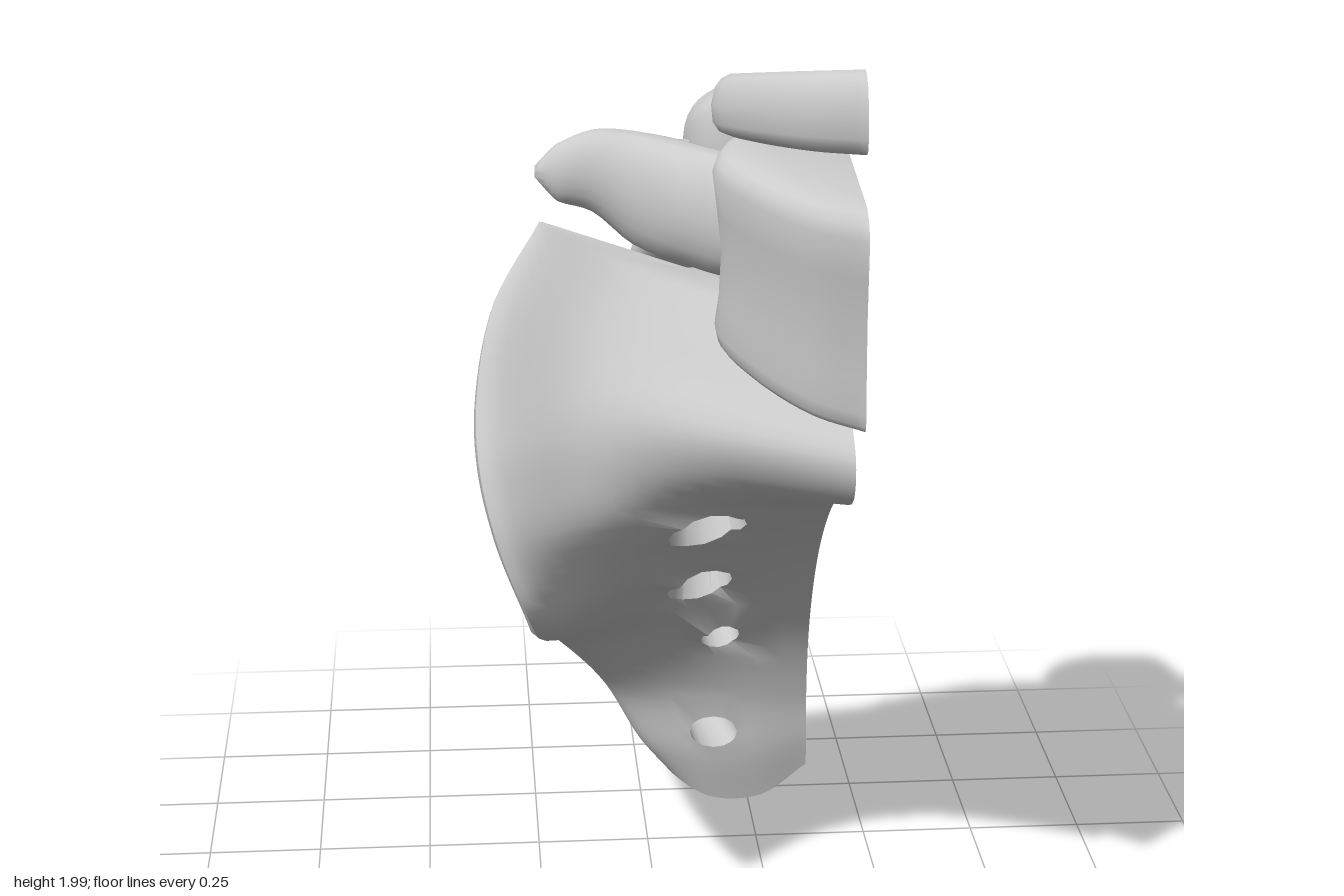
import * as THREE from 'three';
import { toCreasedNormals } from 'three/addons/utils/BufferGeometryUtils.js';

const V = (x, y, z) => new THREE.Vector3(x, y, z);
const { lerp, clamp, smoothstep } = THREE.MathUtils;
const grey = new THREE.MeshStandardMaterial({ color: 0xcccccc });
const cutX = (y) => 0.34 + (2 - y) * 0.024; // the slightly leaning midline cut

function part(name, geometry, crease = 0.75) {
  const mesh = new THREE.Mesh(toCreasedNormals(geometry, crease), grey);
  mesh.name = name;
  return mesh;
}

// Skin a stack of rings, close both ends; skip(j, i) leaves a cell open, extra adds triangles
function skin(rings, skip = () => false, extra = []) {
  const n = rings[0].length, pts = rings.flat(), index = [...extra];
  for (let j = 0; j < rings.length - 1; j++) {
    for (let i = 0; i < n; i++) {
      if (skip(j, i)) continue;
      const a = j * n + i, b = j * n + (i + 1) % n;
      index.push(a, b, a + n, b, b + n, a + n);
    }
  }
  [0, rings.length - 1].forEach((j) => {
    const centre = V(0, 0, 0);
    rings[j].forEach((p) => centre.addScaledVector(p, 1 / n));
    const c = pts.push(centre) - 1;
    for (let i = 0; i < n; i++) {
      const a = j * n + i, b = j * n + (i + 1) % n;
      if (j === 0) index.push(c, b, a); else index.push(c, a, b);
    }
  });
  const g = new THREE.BufferGeometry().setFromPoints(pts);
  g.setIndex(index);
  return g.toNonIndexed();
}

// Sacrum half: lateral x, y at cut, y at side, sag between, depths front (cut to side) and back (side to cut)
const ROWS = [
  [-0.25, 1.42, 1.57, 0.05, 0.25, 0.17, 0.07, 0.03, -0.03, -0.04, -0.04, -0.13],
  [-0.35, 1.29, 1.43, 0.02, 0.36, 0.27, 0.17, 0.15, -0.05, -0.07, -0.11, -0.22],
  [-0.39, 1.19, 1.25, 0, 0.47, 0.37, 0.25, 0.24, -0.07, -0.11, -0.16, -0.29],
  [-0.385, 1.1, 1.12, 0, 0.44, 0.34, 0.28, 0.32, -0.1, -0.16, -0.21, -0.36],
  [-0.35, 0.98, 0.98, 0, 0.14, 0.19, 0.28, 0.37, -0.15, -0.24, -0.31, -0.47],
  [-0.29, 0.8, 0.82, 0, -0.1, -0.04, 0.14, 0.36, -0.22, -0.39, -0.46, -0.57],
  [-0.255, 0.62, 0.66, 0, -0.26, -0.22, -0.09, 0.08, -0.32, -0.5, -0.55, -0.61],
  [-0.2, 0.45, 0.5, 0, -0.36, -0.34, -0.3, -0.27, -0.45, -0.56, -0.6, -0.65],
  [-0.08, 0.28, 0.31, 0, -0.41, -0.4, -0.41, -0.43, -0.52, -0.57, -0.6, -0.66],
  [0.0, 0.17, 0.16, 0.03, -0.42, -0.41, -0.42, -0.45, -0.52, -0.56, -0.59, -0.64],
  [0.06, 0.1, 0.08, 0.08, -0.43, -0.43, -0.44, -0.47, -0.51, -0.55, -0.58, -0.6],
];
const ACROSS = [0, 0.33, 0.7, 0.98, 0.8, 0.62, 0.32, 0];

function sacrum() {
  const sub = 6, last = 7 * sub;
  const lines = ACROSS.map((a, k) => new THREE.CatmullRomCurve3(ROWS.map(([xL, yC, yL, sag, ...z]) => {
    const s = k === 4 ? 1 - 0.23 * smoothstep(yL, 0.6, 0.95) : a; // lateral back edge flares low down
    return V(lerp(cutX(yC), xL, s), lerp(yC, yL, s) - sag * 4 * s * (1 - s), z[k]);
  })));
  const rowCount = (ROWS.length - 1) * sub;
  const rings = [];
  for (let j = 0; j <= rowCount; j++) {
    const curve = new THREE.CatmullRomCurve3(lines.map((l) => l.getPoint(j / rowCount)));
    const ring = curve.getPoints(last);
    // uneven dorsal crests and hollows
    ring.forEach((p, i) => {
      if (i > 4 * sub && i < last) p.z += 0.012 * Math.sin(p.y * 23 + 1) * Math.sin(p.x * 17 + p.y * 4);
    });
    // groove of the spinal canal in the cut face
    const { x, y, z } = ring[last];
    const w = clamp((y - 0.45) * 0.4, 0.035, 0.26), d = 0.06 + w * 0.35;
    const z2 = z + 0.06, z1 = z2 + w;
    ring.push(V(x, y, z2), V(x - d * 0.6, y, z2 + w * 0.45), V(x - d, y, z2 + w * 0.72),
      V(x - d * 0.8, y, z2 + w * 0.93), V(x, y, z1));
    rings.push(ring);
  }
  // foramina: open a block of cells front and back, round each rim and join the two
  const n = rings[0].length, open = new Set(), extra = [];
  const rim = [];
  for (let k = 0; k < 16; k++) {
    const q = k % 4, side = k >> 2;
    rim.push([[-2, q - 2], [q - 2, 2], [2, 2 - q], [2 - q, -2]][side]);
  }
  // opens one mouth; dir is the column step towards the side; returns its rim indices
  const mouth = (hx, hy, rx, ry, from, dir) => {
    let best = 9, r = 0, c = 0;
    for (let j = 3; j < rowCount - 3; j++) {
      for (let i = 3; i < 16; i++) {
        const p = rings[j][from + dir * i], d = Math.hypot(p.x - hx, p.y - hy);
        if (d < best) { best = d; r = j; c = from + dir * i; }
      }
    }
    for (let j = r - 2; j < r + 2; j++) {
      for (let i = c - 2; i < c + 2; i++) open.add(j * n + i);
    }
    return rim.map(([dj, di]) => {
      const p = rings[r + dj][c + di * dir], len = Math.hypot(di, dj);
      p.x = hx - rx * di / len;
      p.y = hy - ry * dj / len;
      return (r + dj) * n + c + di * dir;
    });
  };
  const holes = [
    [[0.1, 0.92, 0.085, 0.06], [0.1, 1.09, 0.05, 0.045]],
    [[0.11, 0.67, 0.075, 0.055], [0.13, 0.84, 0.045, 0.04]],
    [[0.17, 0.48, 0.045, 0.04], [0.165, 0.52, 0.05, 0.04]],
    [[0.165, 0.2, 0.055, 0.04], [0.14, 0.22, 0.05, 0.04]],
  ];
  for (const [front, back] of holes) {
    const f = mouth(...front, 0, 1), b = mouth(...back, last, -1);
    f.forEach((a, k) => {
      const m = (k + 1) % 16;
      extra.push(a, f[m], b[k], f[m], b[m], b[k]);
    });
  }
  return part('sacrum', skin(rings, (j, i) => open.has(j * n + i), extra), 0.9);
}

// Half-oval slab with tilted ends; levels are [fraction down, size, shift in z]
function slab(name, zFront, zBack, top, bottom, levels) {
  const outline = new THREE.CatmullRomCurve3([[0, 1], [0.4, 0.86], [0.8, 0.58], [1, 0.33],
    [0.9, 0.14], [0.5, 0.03], [0, 0]].map(([x, z]) => V(x, 0, z))).getPoints(36);
  const rings = levels.map(([t, k, shift]) => outline.map((p) => {
    const f = 0.5 + (p.z - 0.5) * k;
    const y = lerp(lerp(top[1], top[0], f), lerp(bottom[1], bottom[0], f), t);
    return V(cutX(y) - 0.26 * k * p.x, y, zBack + (zFront - zBack) * f + shift);
  }));
  return part(name, skin(rings));
}

// Rounded limb running towards -x; stations are [x, y, z, radius y, radius z]
function limb(name, stations) {
  const centre = new THREE.CatmullRomCurve3(stations.map(([x, y, z]) => V(x, y, z)));
  const radius = new THREE.CatmullRomCurve3(stations.map((s) => V(s[3], s[4], 0)));
  const rings = [];
  for (let j = 0; j <= 24; j++) {
    const p = centre.getPoint(j / 24), r = radius.getPoint(j / 24);
    rings.push(Array.from({ length: 20 }, (_, i) => {
      const a = i / 20 * Math.PI * 2;
      return V(p.x, p.y + r.x * Math.cos(a), p.z - r.y * Math.sin(a));
    }));
  }
  return part(name, skin(rings), 1.2);
}

// Rounded lump: a side profile of [z, y] points swept from xMax to xMin, leaning by shear
function lump(name, profile, xMax, xMin, shear) {
  const curve = new THREE.CatmullRomCurve3(profile.map(([z, y]) => V(0, y, z)), true);
  const points = curve.getPoints(40).slice(0, -1);
  const mid = V(0, 0, 0);
  points.forEach((p) => mid.addScaledVector(p, 1 / points.length));
  const rings = [];
  for (let j = 0; j <= 24; j++) {
    const u = -Math.cos(j / 24 * Math.PI), power = u < 0 ? 5 : 2.5;
    const k = Math.max(0.03, (1 - Math.abs(u) ** power) ** (1 / power));
    rings.push(points.map((p) => {
      const q = mid.clone().lerp(p, k);
      q.x = lerp(xMax, xMin, (u + 1) / 2) + shear * (q.y - mid.y);
      return q;
    }));
  }
  return part(name, skin(rings), 1.2);
}

export function createModel() {
  const model = new THREE.Group();
  model.name = 'sacrumAndLowerSpineHalf';
  model.add(sacrum());

  // last lumbar vertebra
  const vertebra = new THREE.Group();
  vertebra.name = 'lumbarVertebra';
  vertebra.add(
    slab('vertebralBody', 0.665, 0.2, [1.74, 1.81], [1.29, 1.42], [[0, 0.86, -0.01], [0.02, 0.92, -0.005],
      [0.06, 0.97, 0], [0.12, 1, 0], [0.3, 0.97, -0.01], [0.5, 0.94, -0.02], [0.75, 0.96, -0.035],
      [0.9, 0.99, -0.045], [0.96, 0.97, -0.045], [0.99, 0.93, -0.045], [1, 0.89, -0.045]]),
    limb('transverseProcess', [[0.26, 1.62, 0.3, 0.11, 0.08], [0.13, 1.625, 0.23, 0.125, 0.1],
      [0.04, 1.625, 0.12, 0.125, 0.11], [-0.05, 1.635, 0.045, 0.118, 0.075],
      [-0.13, 1.665, 0.02, 0.085, 0.05], [-0.2, 1.66, 0.01, 0.06, 0.035], [-0.245, 1.66, 0, 0.012, 0.01]]),
    limb('lamina', [[0.3, 1.6, -0.02, 0.03, 0.03], [0.25, 1.6, -0.01, 0.09, 0.08],
      [0.12, 1.62, 0.04, 0.11, 0.1], [0.02, 1.62, 0.02, 0.1, 0.09], [-0.05, 1.6, 0, 0.02, 0.02]]),
    lump('spinousProcess', [[0.125, 1.83], [0.08, 1.85], [-0.1, 1.81], [-0.175, 1.76],
      [-0.18, 1.69], [-0.09, 1.635], [-0.04, 1.57], [0.07, 1.56], [0.135, 1.65]], 0.36, 0.06, 0),
    lump('inferiorArticularProcess', [[0.13, 1.63], [0.03, 1.69], [-0.06, 1.64], [-0.14, 1.56],
      [-0.19, 1.46], [-0.185, 1.35], [-0.1, 1.36], [0, 1.45], [0.09, 1.53]], 0.31, -0.03, 0.35),
  );
  model.add(vertebra);

  // slice of the next vertebra above
  model.add(slab('upperEndplate', 0.65, 0.2, [2.005, 1.895], [1.845, 1.805],
    [[0, 0.86, -0.015], [0.06, 0.92, -0.01], [0.2, 0.97, -0.003], [0.5, 1, 0], [0.8, 0.99, 0],
      [0.94, 0.95, 0], [1, 0.88, 0]]));
  return model;
}
